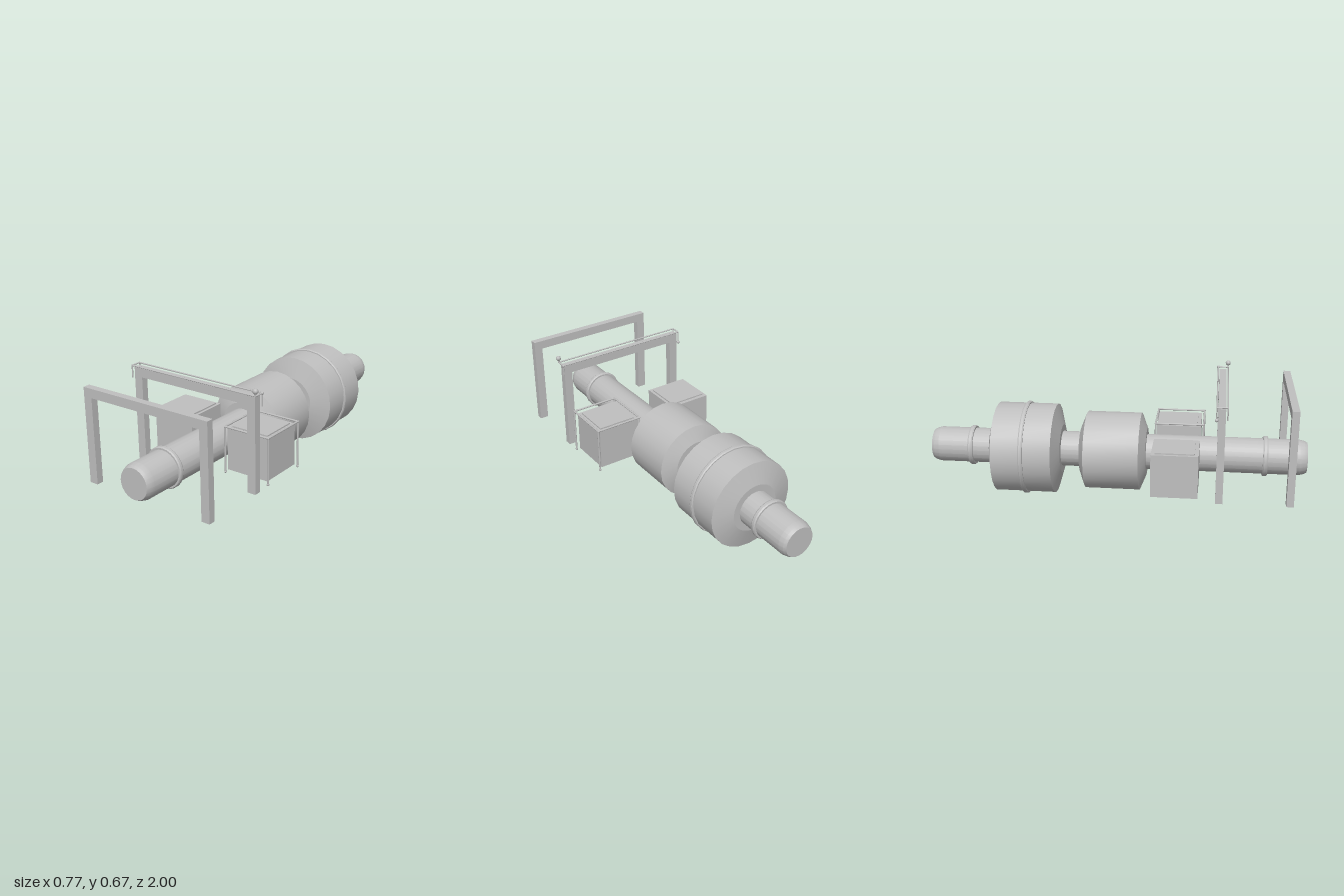
import * as THREE from 'three';
import { toCreasedNormals } from 'three/addons/utils/BufferGeometryUtils.js';

export function createModel() {
  const model = new THREE.Group();
  const grey = new THREE.MeshStandardMaterial({ color: 0xbfbfbf });
  grey.name = 'plain grey';
  const AXIS_X = -0.003, AXIS_Y = 0.254;

  const add = (name, geometry, x = 0, y = 0, z = 0, parent = model) => {
    const mesh = new THREE.Mesh(geometry, grey);
    mesh.name = name;
    mesh.position.set(x, y, z);
    parent.add(mesh);
    return mesh;
  };
  const group = (name) => {
    const g = new THREE.Group();
    g.name = name;
    model.add(g);
    return g;
  };
  // Turned part along the z axis, from [radius, z] pairs
  const turned = (name, profile) => {
    const lathe = new THREE.LatheGeometry(profile.map(([r, z]) => new THREE.Vector2(r, z)), 24);
    lathe.rotateX(Math.PI / 2);
    return add(name, toCreasedNormals(lathe, 0.27), AXIS_X, AXIS_Y, 0);
  };
  // Box given by its lower and upper corners
  const block = (name, a, b, parent) => add(name,
    new THREE.BoxGeometry(b[0] - a[0], b[1] - a[1], b[2] - a[2]),
    (a[0] + b[0]) / 2, (a[1] + b[1]) / 2, (a[2] + b[2]) / 2, parent);
  // Thin round rod between two points
  const rod = (name, a, b, r, parent) => {
    const p = new THREE.Vector3(...a), q = new THREE.Vector3(...b);
    const d = q.clone().sub(p);
    const mesh = add(name, new THREE.CylinderGeometry(r, r, d.length(), 8), 0, 0, 0, parent);
    mesh.position.copy(p).add(q).multiplyScalar(0.5);
    mesh.quaternion.setFromUnitVectors(new THREE.Vector3(0, 1, 0), d.normalize());
  };
  const ball = (name, r, p, parent) => add(name, new THREE.SphereGeometry(r, 8, 6), ...p, parent);

  // Long central pipe with rounded ends
  turned('centralPipe', [[0, -1], [0.08, -1], [0.088, -0.985], [0.094, -0.96],
    [0.094, 0.96], [0.088, 0.985], [0.08, 1], [0, 1]]);

  // Drums with shallow conical ends
  const drum = (name, z0, z1, r, cap) => turned(name,
    [[0, z0], [cap, z0], [r, z0 + 0.032], [r, z1 - 0.032], [cap, z1], [0, z1]]);
  drum('frontDrum', -0.192, 0.16, 0.207, 0.127);
  drum('rearDrum', -0.673, -0.293, 0.24, 0.13);

  // Raised bands
  const band = (name, z, r, h) => turned(name, [[r - 0.02, z - h], [r - 0.004, z - h],
    [r, z - h * 0.5], [r, z + h * 0.5], [r - 0.004, z + h], [r - 0.02, z + h]]);
  band('frontPipeBand', 0.783, 0.107, 0.013);
  band('rearPipeBand', -0.785, 0.107, 0.013);
  band('rearDrumBand', -0.482, 0.25, 0.012);

  // Side boxes with a raised lid panel
  for (const side of [-1, 1]) {
    const box = group(side > 0 ? 'leftBox' : 'rightBox');
    const cx = AXIS_X + side * 0.232, cz = 0.323, h = 0.119;
    block('boxBody', [cx - h, 0.142, cz - h], [cx + h, 0.366, cz + h], box);
    block('boxLid', [cx - h + 0.015, 0.366, cz - h + 0.02], [cx + h - 0.015, 0.373, cz + h - 0.02], box);
  }

  // Rod frame around the left box
  const frame = group('boxFrame');
  const corners = [[0.105, 0.197], [0.362, 0.197], [0.362, 0.456], [0.105, 0.456]];
  corners.forEach(([x, z], i) => {
    const [nx, nz] = corners[(i + 1) % 4];
    rod('frameRail', [x, 0.377, z], [nx, 0.377, nz], 0.005, frame);
    rod('framePost', [x, 0.132, z], [x, 0.377, z], 0.005, frame);
    ball('frameFoot', 0.007, [x, 0.134, z], frame);
    ball('frameCorner', 0.006, [x, 0.377, z], frame);
  });

  // Square arches straddling the pipe
  const archShape = new THREE.Shape([[-0.37, 0.127], [-0.323, 0.127], [-0.323, 0.575], [0.32, 0.575],
    [0.32, 0.127], [0.366, 0.127], [0.366, 0.622], [-0.37, 0.622]].map(([x, y]) => new THREE.Vector2(x, y)));
  const archGeometry = new THREE.ExtrudeGeometry(archShape, { depth: 0.037, bevelEnabled: false });
  add('frontArch', archGeometry, 0, 0, 0.88);
  add('rearArch', archGeometry, 0, 0, 0.53);

  // Rail loop over the rear arch with drop rods and knobs
  const rail = group('archRail');
  const xL = -0.377, xR = 0.374, zB = 0.523, zF = 0.576, y = 0.631, low = 0.567;
  for (const z of [zB, zF]) rod('longRail', [xL, y, z], [xR, y, z], 0.004, rail);
  for (const x of [xL, xR]) rod('endRail', [x, y, zB], [x, y, zF], 0.004, rail);
  for (const [x, z] of [[xL, zB], [xL, zF], [xR, zB]]) rod('dropRod', [x, low, z], [x, y, z], 0.0035, rail);
  ball('lowKnob', 0.009, [xL, low, zB], rail);
  ball('cornerKnob', 0.008, [xR, y, zB], rail);
  rod('knobStem', [xR, y, zF], [xR, 0.655, zF], 0.0035, rail);
  ball('topKnob', 0.014, [xR, 0.655, zF], rail);

  return model;
}
